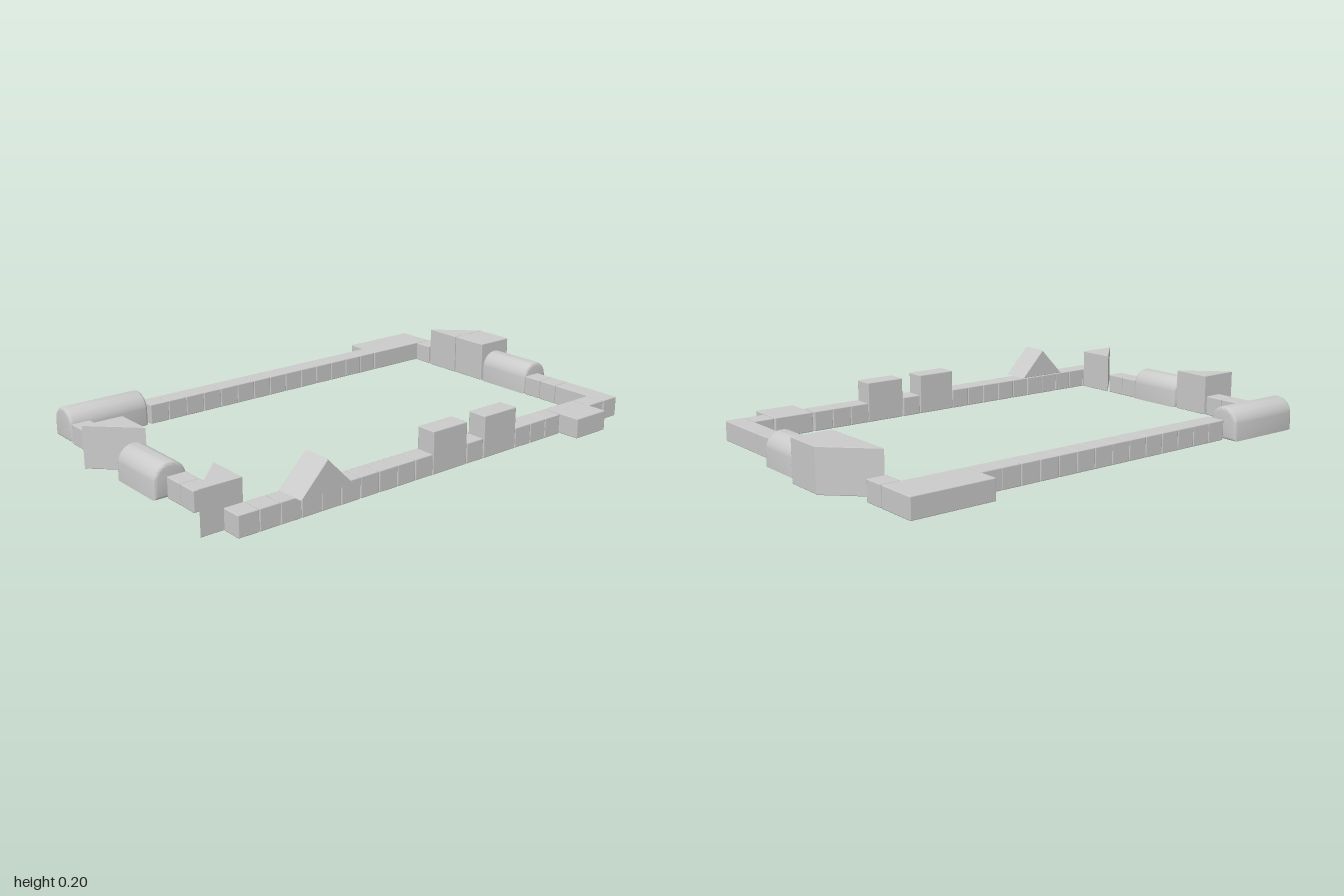
import * as THREE from 'three';
import { RoundedBoxGeometry } from 'three/addons/geometries/RoundedBoxGeometry.js';
import { toCreasedNormals } from 'three/addons/utils/BufferGeometryUtils.js';

const U = 0.0826;   // edge of the smallest cube
const GAP = 0.0015; // hairline between neighbouring blocks

export function createModel() {
  const model = new THREE.Group();
  const material = new THREE.MeshStandardMaterial({ color: 0xcccccc });

  function add(name, geometry) {
    const mesh = new THREE.Mesh(geometry, material);
    mesh.name = name;
    model.add(mesh);
    return mesh;
  }

  // Block standing on the ground, given by its x and z ranges
  function block(name, x0, x1, z0, z1, h = 0.079) {
    const geo = new RoundedBoxGeometry(x1 - x0 - GAP, h, z1 - z0 - GAP, 1, 0.004);
    add(name, geo).position.set((x0 + x1) / 2, h / 2, (z0 + z1) / 2);
  }

  // Extrusion along +z whose bevel stays inside the outline and length
  function extrude(shape, length, bevel, segments) {
    return new THREE.ExtrudeGeometry(shape, {
      depth: length - 2 * bevel, bevelThickness: bevel, bevelSize: bevel,
      bevelOffset: -bevel, bevelSegments: segments, curveSegments: 12,
    }).translate(0, 0, bevel);
  }

  function polygon(points) {
    return new THREE.Shape(points.map(([x, y]) => new THREE.Vector2(x, y)));
  }

  // Upright wedge with a triangular footprint of x, z corners
  function wedge(name, corners) {
    const geo = extrude(polygon(corners.map(([x, z]) => [x, -z])), 0.163, 0.002, 1);
    add(name, geo.rotateX(-Math.PI / 2));
  }

  // Arch-topped block with rounded ends, lying along x or z
  function archBlock(name, x, z, length, alongX) {
    const r = 0.065, spring = 0.061;
    const shape = new THREE.Shape();
    shape.moveTo(-r, 0).lineTo(r, 0).lineTo(r, spring);
    shape.absarc(0, spring, r, 0, Math.PI, false);
    shape.lineTo(-r, 0);
    const geo = toCreasedNormals(extrude(shape, length - GAP, 0.012, 3), 0.6);
    geo.translate(0, 0, -(length - GAP) / 2);
    if (alongX) geo.rotateY(Math.PI / 2);
    add(name, geo).position.set(x, 0, z);
  }

  // Rows of small cubes
  function cubesAlongX(name, x0, count, z0) {
    for (let i = 0; i < count; i++) block(name, x0 + i * U, x0 + (i + 1) * U, z0, z0 + 0.078);
  }
  function cubesAlongZ(name, z0, count, x0) {
    for (let i = 0; i < count; i++) block(name, x0, x0 + U, z0 + i * U, z0 + (i + 1) * U);
  }

  // Right-hand wall
  block('rightBackSlab', -0.67, -0.506, -0.916, -0.585);
  cubesAlongZ('rightCube', -0.583, 14, -0.589);
  for (const m of model.children.filter((c) => c.name === 'rightCube')) m.scale.z = 1.01;
  archBlock('rightFrontArch', -0.573, 0.75, 0.332, false);

  // Front wall
  cubesAlongX('frontCube', -0.504, 3, 0.838);
  wedge('frontWedge', [[-0.25, 0.838], [-0.09, 0.838], [-0.25, 1]]);
  archBlock('frontArch', 0.041, 0.898, 0.25, true);
  cubesAlongX('frontCube', 0.166, 2, 0.838);
  wedge('frontCornerWedge', [[0.338, 0.838], [0.5, 0.838], [0.5, 1]]);

  // Left-hand wall
  const lx = 0.502;
  cubesAlongZ('leftCube', 0.09, 10, lx);
  block('leftTallBlock', lx, lx + U, -0.076, 0.09, 0.162);
  cubesAlongZ('leftCube', -0.16, 1, lx);
  block('leftTallBlock', lx, lx + U, -0.329, -0.163, 0.162);
  cubesAlongZ('leftCube', -0.329 - 3 * U, 3, lx);
  block('leftSlab', lx, 0.666, -0.748, -0.583);
  cubesAlongZ('leftCube', -0.834, 1, lx);

  // Roof-shaped block resting on the left-hand wall
  const roof = extrude(polygon([[-0.11, 0], [0.11, 0], [0, 0.115]]), 0.116, 0.003, 1);
  add('roofBlock', roof.rotateY(Math.PI / 2)).position.set(0.502, 0.08, 0.588);

  // Back wall
  cubesAlongX('backCube', -0.504, 1, -0.916);
  wedge('backWedge', [[-0.41, -0.838], [-0.252, -0.838], [-0.252, -1]]);
  block('backTallBlock', -0.251, -0.087, -1, -0.837, 0.163);
  archBlock('backArch', 0.041, -0.902, 0.25, true);
  cubesAlongX('backCube', 0.166, 2, -0.916);
  block('backLongBlock', 0.332, 0.585, -0.916, -0.837);

  return model;
}
